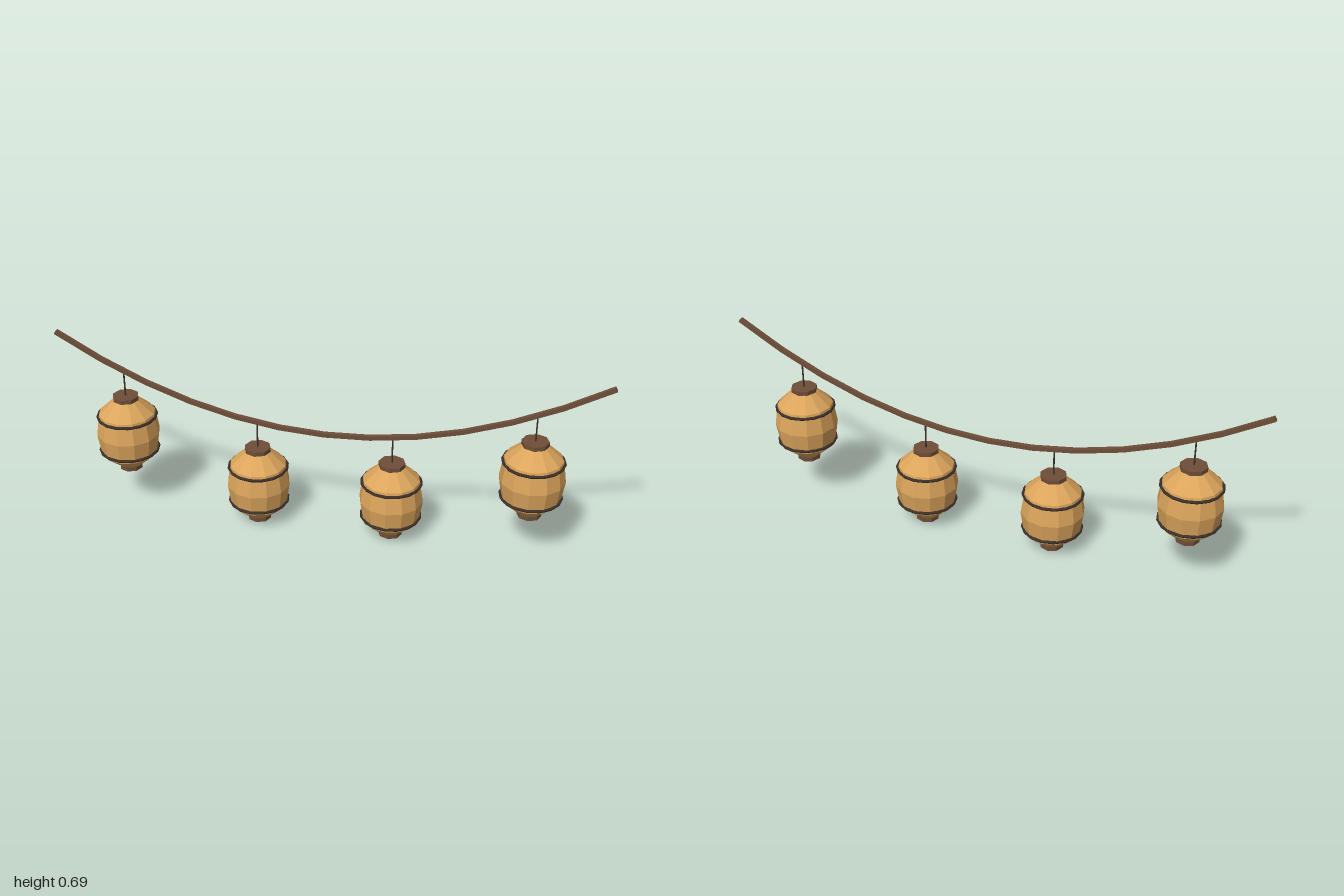
import * as THREE from 'three';

// Faceted normals for a low-poly look
function faceted(geometry) {
  const g = geometry.index ? geometry.toNonIndexed() : geometry;
  g.computeVertexNormals();
  return g;
}

export function createModel() {
  const paper = new THREE.MeshStandardMaterial({ color: 0xdca55c });
  paper.name = 'tan paper';
  const wood = new THREE.MeshStandardMaterial({ color: 0x6e4e39 });
  wood.name = 'brown wood';
  const dark = new THREE.MeshStandardMaterial({ color: 0x3b3029 });
  dark.name = 'dark trim';

  const model = new THREE.Group();
  model.name = 'lanternString';

  function add(parent, name, geometry, material, x = 0, y = 0) {
    const mesh = new THREE.Mesh(geometry, material);
    mesh.name = name;
    mesh.position.set(x, y, 0);
    parent.add(mesh);
  }

  // Sagging rope: square section following a parabola
  const endX = 0.996, half = 0.008, segments = 12;
  const sag = x => 0.385 + 0.3035 * x * x;
  const upper = [], lower = [];
  for (let i = 0; i <= segments; i++) {
    const x = endX * (2 * i / segments - 1);
    const n = new THREE.Vector2(-0.607 * x, 1).normalize().multiplyScalar(half);
    upper.push(new THREE.Vector2(x + n.x, sag(x) + n.y));
    lower.push(new THREE.Vector2(x - n.x, sag(x) - n.y));
  }
  const ropeGeo = new THREE.ExtrudeGeometry(
    new THREE.Shape([...lower, ...upper.reverse()]),
    { depth: 2 * half, bevelEnabled: false });
  ropeGeo.translate(0, 0, -half);
  add(model, 'rope', ropeGeo, wood);

  // Shared lantern geometries, measured from the lantern's base
  const profile = [[0.042, 0.016], [0.104, 0.069], [0.117, 0.151], [0.104, 0.234], [0.045, 0.288]];
  const bodyGeo = faceted(new THREE.LatheGeometry(profile.map(p => new THREE.Vector2(...p)), 12));
  const ringGeo = faceted(new THREE.TorusGeometry(0.108, 0.0055, 6, 16).rotateX(Math.PI / 2));
  const topGeo = faceted(new THREE.CylinderGeometry(0.049, 0.049, 0.016, 8));
  const baseGeo = faceted(new THREE.CylinderGeometry(0.044, 0.044, 0.017, 8));

  for (const [x, base] of [[-0.747, 0.153], [-0.249, 0], [0.249, 0], [0.747, 0.153]]) {
    const lantern = new THREE.Group();
    lantern.name = 'lantern';
    lantern.position.set(x, base, 0);
    add(lantern, 'paperBody', bodyGeo, paper);
    add(lantern, 'lowerRing', ringGeo, dark, 0, 0.082);
    add(lantern, 'upperRing', ringGeo, dark, 0, 0.221);
    add(lantern, 'topCap', topGeo, wood, 0, 0.295);
    add(lantern, 'bottomCap', baseGeo, wood, 0, 0.0085);

    // Hanging cord from the cap up into the rope
    const length = sag(x) - base - 0.3;
    add(lantern, 'cord', faceted(new THREE.CylinderGeometry(0.003, 0.003, length, 6)), dark, 0, 0.3 + length / 2);
    model.add(lantern);
  }
  return model;
}
